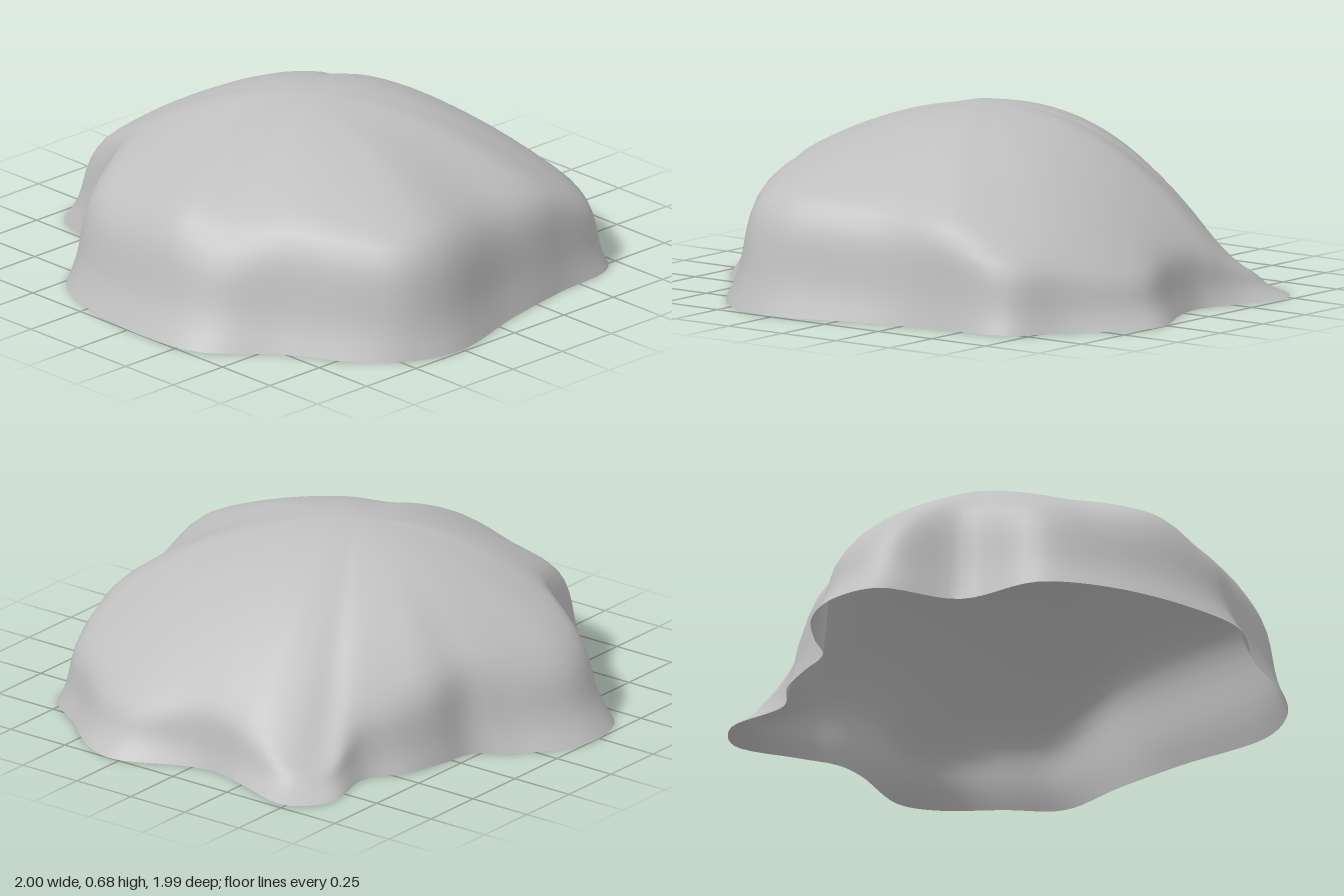
import * as THREE from 'three';

// Meridians round the shell: ground edge x, z, then shoulder x, z and height
const MERIDIANS = [
  [-0.43, -0.93, -0.38, -0.77, 0.36], [-0.25, -1.0, -0.23, -0.82, 0.34],
  [-0.08, -0.96, -0.07, -0.78, 0.34], [0.06, -0.84, 0.06, -0.73, 0.34],
  [0.15, -0.73, 0.17, -0.68, 0.33], [0.3, -0.7, 0.31, -0.65, 0.3],
  [0.45, -0.66, 0.45, -0.58, 0.26], [0.59, -0.57, 0.58, -0.52, 0.21],
  [0.85, -0.61, 0.72, -0.48, 0.11], [0.97, -0.5, 0.8, -0.39, 0.13],
  [0.91, -0.25, 0.82, -0.25, 0.2], [0.87, -0.1, 0.82, -0.1, 0.23],
  [0.89, 0.02, 0.82, 0.04, 0.24], [1.0, 0.28, 0.84, 0.25, 0.22],
  [0.96, 0.42, 0.81, 0.41, 0.23], [0.8, 0.62, 0.74, 0.57, 0.25],
  [0.67, 0.79, 0.63, 0.71, 0.27], [0.4, 0.83, 0.39, 0.78, 0.36],
  [0.1, 0.89, 0.1, 0.79, 0.38], [-0.28, 0.99, -0.25, 0.87, 0.41],
  [-0.48, 0.93, -0.41, 0.85, 0.4], [-0.62, 0.8, -0.55, 0.67, 0.42],
  [-0.77, 0.55, -0.65, 0.48, 0.43], [-0.96, 0.34, -0.77, 0.28, 0.4],
  [-1.0, 0.1, -0.83, 0.08, 0.43], [-0.96, -0.25, -0.83, -0.2, 0.37],
  [-0.83, -0.5, -0.75, -0.43, 0.37], [-0.54, -0.63, -0.5, -0.58, 0.43],
];
const APEX = new THREE.Vector3(-0.08, 0.678, -0.02);
const AROUND = 168, WALL = 8, DOME = 18, SMOOTHING = 2;

const closedCurve = (pick) =>
  new THREE.CatmullRomCurve3(MERIDIANS.map(pick), true, 'centripetal');

// One strip of points from the ground edge over the shoulder to the apex
function meridian(edge, shoulder) {
  let points = [];
  // Flaring side wall
  for (let j = 0; j <= WALL; j++) {
    const s = j / WALL;
    const p = edge.clone().lerp(shoulder, s + 0.1 * Math.sin(2 * Math.PI * s));
    points.push(p.setY(shoulder.y * s));
  }
  // Domed top, its lobes fading into a round crown
  const dx = shoulder.x - APEX.x, dz = shoulder.z - APEX.z;
  const r = Math.hypot(dx, dz);
  const power = 2.08 + 0.4 * dx / r;
  for (let j = 1; j <= DOME; j++) {
    const t = 1 - j / DOME;
    const reach = t * THREE.MathUtils.lerp(0.8, r, t) / r;
    const y = APEX.y - (APEX.y - shoulder.y) * t ** power;
    points.push(new THREE.Vector3(APEX.x + dx * reach, y, APEX.z + dz * reach));
  }
  // Round off the shoulder
  for (let pass = 0; pass < SMOOTHING; pass++) {
    points = points.map((p, j) => (j === 0 || j === WALL + DOME)
      ? p
      : points[j - 1].clone().add(points[j + 1]).multiplyScalar(0.5).lerp(p, 0.5));
  }
  return points;
}

function shellGeometry() {
  const ground = closedCurve(([x, z]) => new THREE.Vector3(x, 0, z));
  const shoulder = closedCurve(([, , x, z, h]) => new THREE.Vector3(x, h, z));
  const strips = Array.from({ length: AROUND }, (_, i) =>
    meridian(ground.getPoint(i / AROUND), shoulder.getPoint(i / AROUND)));

  // Rings of points, with a single one at the apex
  const rings = WALL + DOME, apex = rings * AROUND;
  const positions = [], indices = [];
  for (let j = 0; j < rings; j++) {
    for (const strip of strips) positions.push(...strip[j].toArray());
  }
  positions.push(...APEX.toArray());

  // Skin between neighbouring rings, then a fan to the apex
  for (let j = 0; j < rings; j++) {
    for (let i = 0; i < AROUND; i++) {
      const a = j * AROUND + i, b = j * AROUND + (i + 1) % AROUND;
      if (j === rings - 1) indices.push(a, apex, b);
      else indices.push(a, a + AROUND, b, b, a + AROUND, b + AROUND);
    }
  }
  const geometry = new THREE.BufferGeometry();
  geometry.setAttribute('position', new THREE.Float32BufferAttribute(positions, 3));
  geometry.setIndex(indices);
  geometry.computeVertexNormals();
  return geometry;
}

export function createModel() {
  const stone = new THREE.MeshStandardMaterial({ color: 0xbfbfbf, side: THREE.DoubleSide });
  stone.name = 'stone grey';
  const shell = new THREE.Mesh(shellGeometry(), stone);
  shell.name = 'rockShell';
  const model = new THREE.Group();
  model.name = 'rock';
  model.add(shell);
  return model;
}
